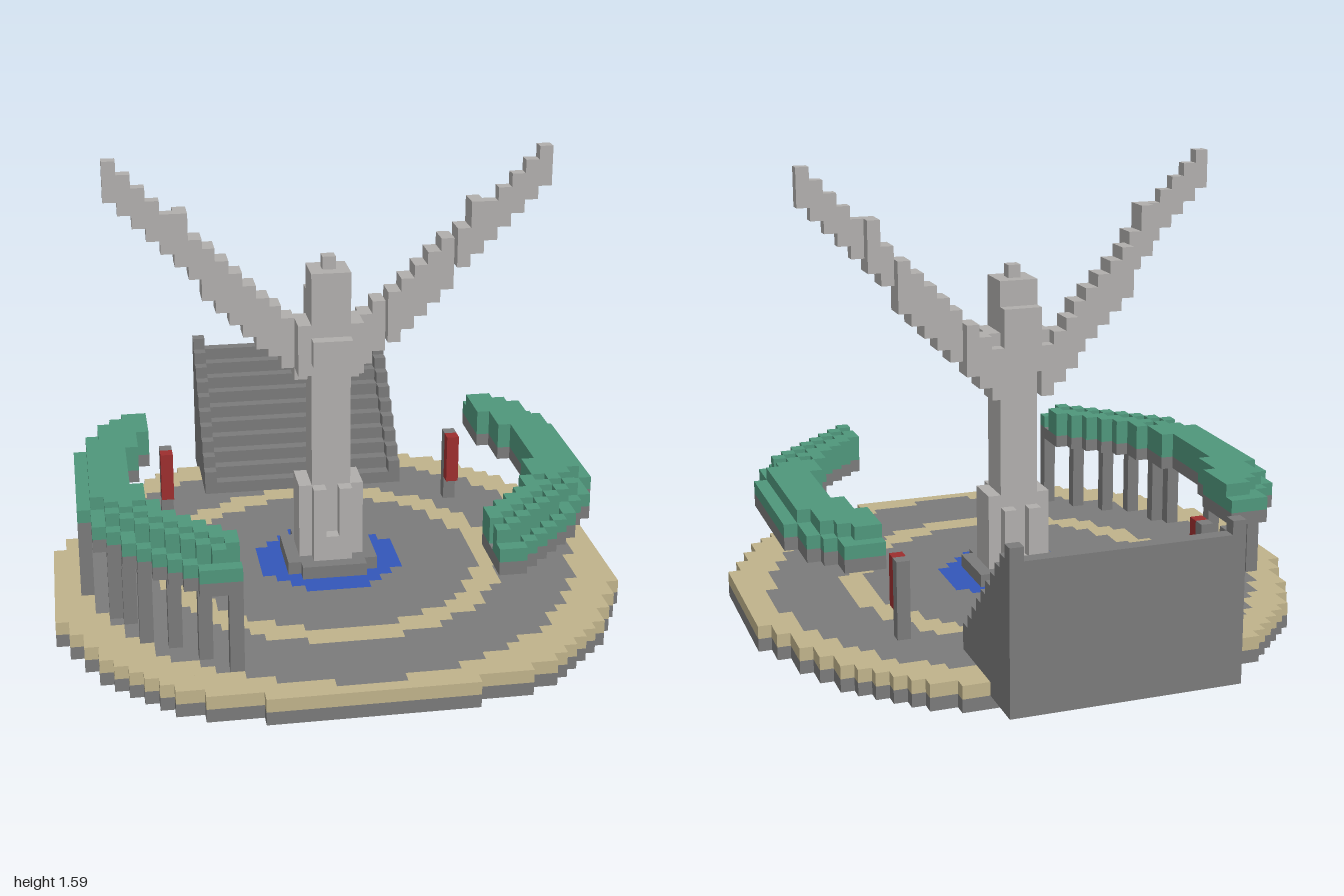
import * as THREE from 'three';
import { mergeGeometries } from 'three/addons/utils/BufferGeometryUtils.js';

const U = 1 / 22; // edge of one block

const material = (name, color) => {
  const m = new THREE.MeshStandardMaterial({ color });
  m.name = name;
  return m;
};

// Box covering block columns xa..xb (inclusive), heights y0..y1 and depths z0..z1
function block(xa, xb, y0, y1, z0, z1) {
  const g = new THREE.BoxGeometry((xb - xa + 1) * U, (y1 - y0) * U, (z1 - z0) * U);
  return g.translate((xa + xb) / 2 * U, (y0 + y1) / 2 * U, (z0 + z1) / 2 * U);
}

// One layer of blocks wherever test(x, z) holds, joined into runs along x
function layer(y0, y1, test) {
  const out = [];
  for (let z = -22; z < 22; z++) {
    let start = null;
    for (let x = -22; x <= 22; x++) {
      const on = test(x, z);
      if (on && start === null) start = x;
      if (!on && start !== null) {
        out.push(block(start, x - 1, y0, y1, z, z + 1));
        start = null;
      }
    }
  }
  return out;
}

// Distance from the plaza's centre
const radius = (x, z) => Math.hypot(x, z - 1);

// Plaza outline: back and front limit of each column, by distance from the middle
const BACK = [-20, -20, -20, -20, -20, -19, -19, -19, -18, -18, -18, -17, -17, -16, -15, -14, -13, -12, -10, -8, -5, -3];
const FRONT = [22, 22, 22, 22, 22, 22, 22, 22, 21, 21, 21, 21, 20, 20, 19, 18, 17, 16, 15, 13, 11, 9];
const inPlaza = (x, z) => {
  const a = Math.abs(x);
  return a <= 21 && z >= BACK[a] && z < FRONT[a];
};

export function createModel() {
  const model = new THREE.Group();
  model.name = 'monumentPlaza';
  const stone = material('stone grey', 0x7a7a7a);
  const statue = material('pale grey', 0xb0aeac);
  const sand = material('sand', 0xbfb28a);
  const green = material('leaf green', 0x4f967b);
  const blue = material('water blue', 0x3356b8);
  const red = material('banner red', 0x9c2e2e);

  const add = (name, mat, parts) => {
    const mesh = new THREE.Mesh(mergeGeometries(parts), mat);
    mesh.name = name;
    model.add(mesh);
  };

  // Plaza: foundation below, coloured paving above
  const zone = (x, z) => {
    const r = radius(x, z);
    if (r < 5.6) return 'pool';
    if (r < 11.5) return 'floor';
    if (r < 13.6) return 'ring';
    return r < 19.2 ? 'floor' : 'rim';
  };
  const paving = (...names) => layer(1, 2, (x, z) => inPlaza(x, z) && names.includes(zone(x, z)));
  add('foundation', stone, layer(0, 1, inPlaza));
  add('paving', stone, paving('floor'));
  add('pavingBorders', sand, paving('ring', 'rim'));
  add('pool', blue, paving('pool'));

  // Staircase with raised side walls
  const steps = [], walls = [];
  for (let i = 0; i < 10; i++) {
    steps.push(block(-7, 7, 1, 3 + i, -13 - i, -12 - i));
    for (const s of [-8, 8]) walls.push(block(s, s, 1, 4 + i, -13 - i, -12 - i));
  }
  add('stairs', stone, steps);
  add('stairWalls', stone, walls);

  // Statue: pedestal, shaft, chest and head
  add('pedestal', stone, layer(2, 3, (x, z) => radius(x, z) < 3.7));
  add('statueBody', statue, [
    block(-1, 1, 3, 26, 0, 3),
    block(0, 0, 26, 27, 1, 2),
    block(-2, 2, 18, 22, 0, 3),
    block(-1, 1, 19, 21, 3, 4),
    block(-1, 1, 19, 24, -1, 0),
    block(-1, 1, 17, 18, 0, 3),
  ]);
  const buttresses = [block(-1, 1, 3, 4, -1, 0), block(-1, 1, 3, 5, 3, 4)];
  for (const s of [-1, 1]) {
    buttresses.push(block(s * 2, s * 2, 3, 9, 0, 3), block(s, s, 5, 9, 3, 4), block(s, s, 4, 8, -1, 0));
  }
  add('statueButtresses', statue, buttresses);

  // Raised wings, stepping upward and forward
  for (const s of [-1, 1]) {
    const wing = [];
    for (let x = 2; x <= 16; x++) {
      const [z0, z1] = x < 5 ? [-1, 1] : x < 10 ? [0, 2] : x < 12 ? [1, 3] : [2, 3];
      const low = Math.round(18 + (x - 3) * 14 / 13);
      wing.push(block(s * x, s * x, low, x === 11 ? 31 : x + 19, z0, z1));
    }
    add(s > 0 ? 'leftWing' : 'rightWing', statue, wing);
  }

  // Curved canopies: grey underside with two layers of leaves
  for (const s of [-1, 1]) {
    const side = s > 0 ? 'left' : 'right';
    const arc = (inner, outer, z0, z1) => (x, z) => {
      const r = radius(x, z), a = s * x;
      return a >= (z < -3 ? 14 : s > 0 ? 10 : 9) && z >= z0 && z < z1 && r > inner && r < outer;
    };
    const lower = arc(15.3, 19.7, -10, 18), upper = arc(15.3, 18.8, -9, 17);
    const gap = (x, z) => z >= 8 && (x + z) % 2 !== 0 && radius(x, z) > 16.2 && radius(x, z) < 18.7;
    add(side + 'CanopyBase', stone, layer(8, 9, lower));
    add(side + 'CanopyLeaves', green, [
      ...layer(9, 10, (x, z) => lower(x, z) && !gap(x, z)),
      ...layer(10, 11, (x, z) => upper(x, z) && !gap(x, z)),
    ]);
  }

  // Posts stand under the canopy on one side only
  const posts = [[-9, 17], [-11, 15], [-13, 13], [-15, 12], [-16, 9], [-17, 8], [-19, 4], [-18, -5]];
  add('canopyPosts', stone, posts.map(([x, z]) => block(x, x, 2, 8, z, z + 1)));

  // Banner poles
  add('bannerPoles', stone, [-12, 12].map((x) => block(x, x, 2, 8, -9, -8)));
  add('banners', red, [-12, 12].map((x) => block(x, x, 4, 8, -8, -7)));

  return model;
}
